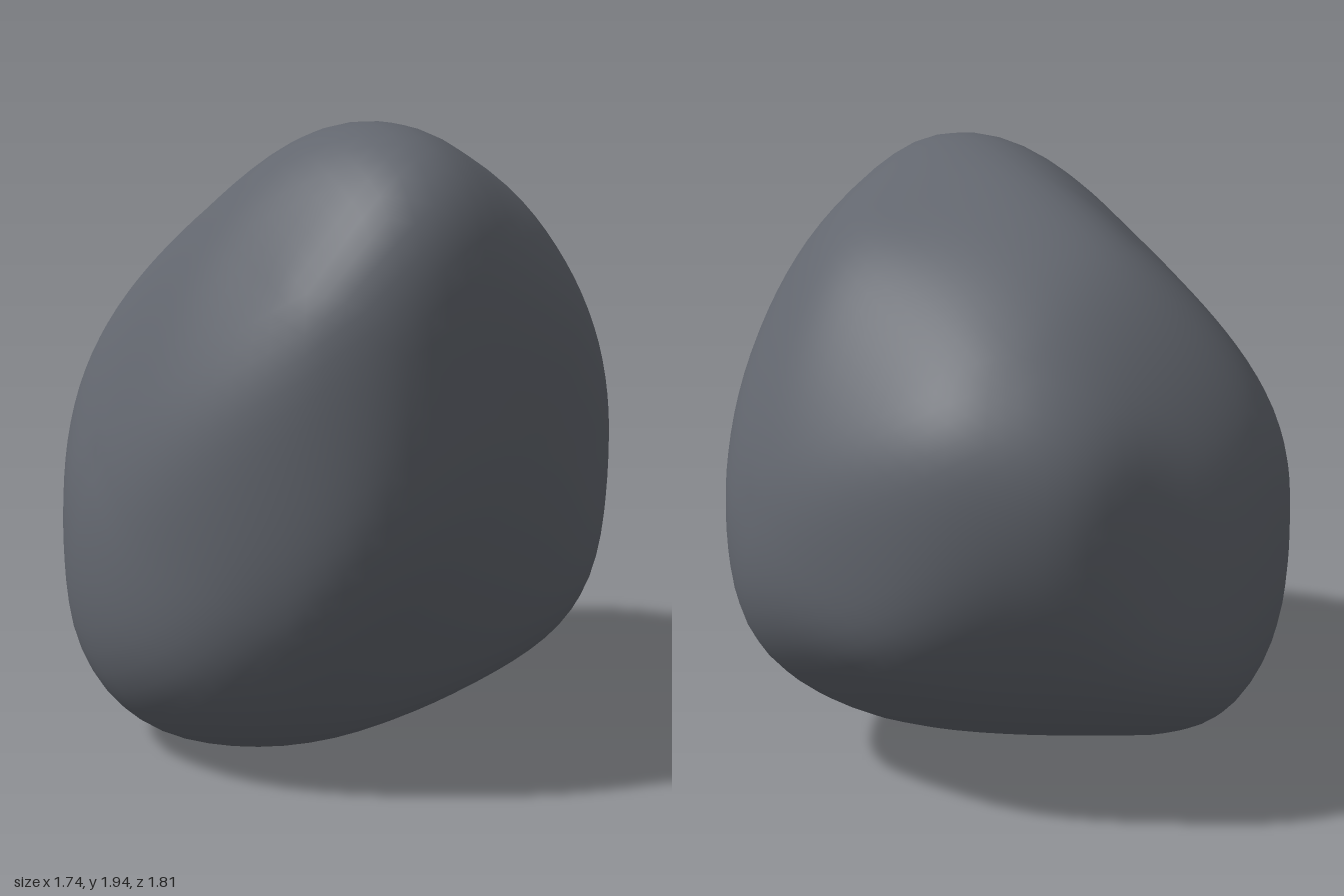
import * as THREE from 'three';
import { mergeVertices } from 'three/addons/utils/BufferGeometryUtils.js';

// A smooth closed outline seen from one direction (azimuth, elevation in degrees),
// through clockwise across, up pairs measured from the boulder's middle
function outline(azimuth, elevation, pairs) {
  const a = THREE.MathUtils.degToRad(azimuth), e = THREE.MathUtils.degToRad(elevation);
  const knots = [];
  for (let i = 0; i < pairs.length; i += 2) knots.push(new THREE.Vector3(pairs[i], pairs[i + 1], 0));
  const curve = new THREE.CatmullRomCurve3(knots, true);
  return {
    points: curve.getPoints(48).slice(0, -1).map((p) => new THREE.Vector2(p.x, p.y)),
    right: new THREE.Vector3(Math.cos(a), 0, -Math.sin(a)),
    up: new THREE.Vector3(-Math.sin(e) * Math.sin(a), Math.cos(e), -Math.sin(e) * Math.cos(a)),
  };
}

// Inverse distance along direction d at which it leaves one outline
function inverseReach({ points, right, up }, d) {
  const q = new THREE.Vector2(d.dot(right), d.dot(up));
  if (q.length() < 1e-4) return 0;
  const i = points.findIndex((a, k) => {
    const b = points[(k + 1) % points.length];
    return a.cross(q) <= 1e-9 && q.cross(b) <= 1e-9;
  });
  const a = points[i];
  const edge = points[(i + 1) % points.length].clone().sub(a);
  return q.cross(edge) / a.cross(edge);
}

// Average each vertex's radius with its neighbours to wear down the ridges
function wear(radii, index, rounds) {
  for (let r = 0; r < rounds; r++) {
    const sums = radii.map(() => 0), counts = radii.map(() => 0);
    for (let i = 0; i < index.count; i++) {
      const next = i % 3 === 2 ? i - 2 : i + 1;
      sums[index.getX(i)] += radii[index.getX(next)];
      counts[index.getX(i)]++;
    }
    radii = sums.map((s, i) => s / counts[i]);
  }
  return radii;
}

// Boulder: a ball carved to the softly rounded intersection of all outlines
function boulderGeometry(outlines) {
  const ball = new THREE.IcosahedronGeometry(1, 16);
  ball.deleteAttribute('normal');
  ball.deleteAttribute('uv');
  const geometry = mergeVertices(ball, 1e-4);
  const pos = geometry.attributes.position;
  const sharpness = 40;
  const directions = [];
  for (let i = 0; i < pos.count; i++) directions.push(new THREE.Vector3().fromBufferAttribute(pos, i).normalize());
  const carved = directions.map((d) => {
    const sum = outlines.reduce((total, o) => total + inverseReach(o, d) ** sharpness, 0);
    return sum ** (-1 / sharpness);
  });
  wear(carved, geometry.index, 3).forEach((radius, i) => {
    const p = directions[i].multiplyScalar(radius);
    pos.setXYZ(i, p.x, p.y + 1, p.z);
  });
  geometry.computeVertexNormals();
  return geometry;
}

export function createModel() {
  const stone = new THREE.MeshStandardMaterial({ color: 0x62666e });
  stone.name = 'slate grey stone';

  const outlines = [
    // front, side and top
    outline(0, 0, [.16, 1, .5, .85, .8, .37, .885, -.05, .73, -.65, -.22, -1, -.74, -.84, -.89, -.36, -.82, .17, -.5, .6]),
    outline(90, 0, [-.4, 1, .07, .9, .6, .59, .915, .14, .68, -.55, -.15, -1, -.62, -.83, -.88, -.34, -.91, .4, -.71, .89]),
    outline(0, 90, [-.21, .92, .2, .865, .84, .43, .88, .08, .66, -.51, .15, -.91, -.67, -.57, -.87, .26, -.64, .65, -.38, .78]),
    // diagonals
    outline(35, 24, [-.02, .88, .48, .66, .84, .17, .92, -.4, .73, -.7, -.43, -.96, -.85, -.61, -.86, -.21, -.51, .56]),
    outline(215, 24, [.09, 1.155, .56, .64, .86, -.13, .77, -.79, .49, -1, -.07, -.9, -.68, -.6, -.93, -.25, -.8, .31, -.33, .93]),
    outline(145, -24, [-.17, .84, .44, .72, .91, .04, .79, -.68, .3, -1.09, -.2, -1.04, -.66, -.5, -.84, .16, -.84, .45, -.55, .78]),
  ];

  const rock = new THREE.Mesh(boulderGeometry(outlines), stone);
  rock.name = 'rock';
  const group = new THREE.Group();
  group.name = 'boulder';
  group.add(rock);
  return group;
}
